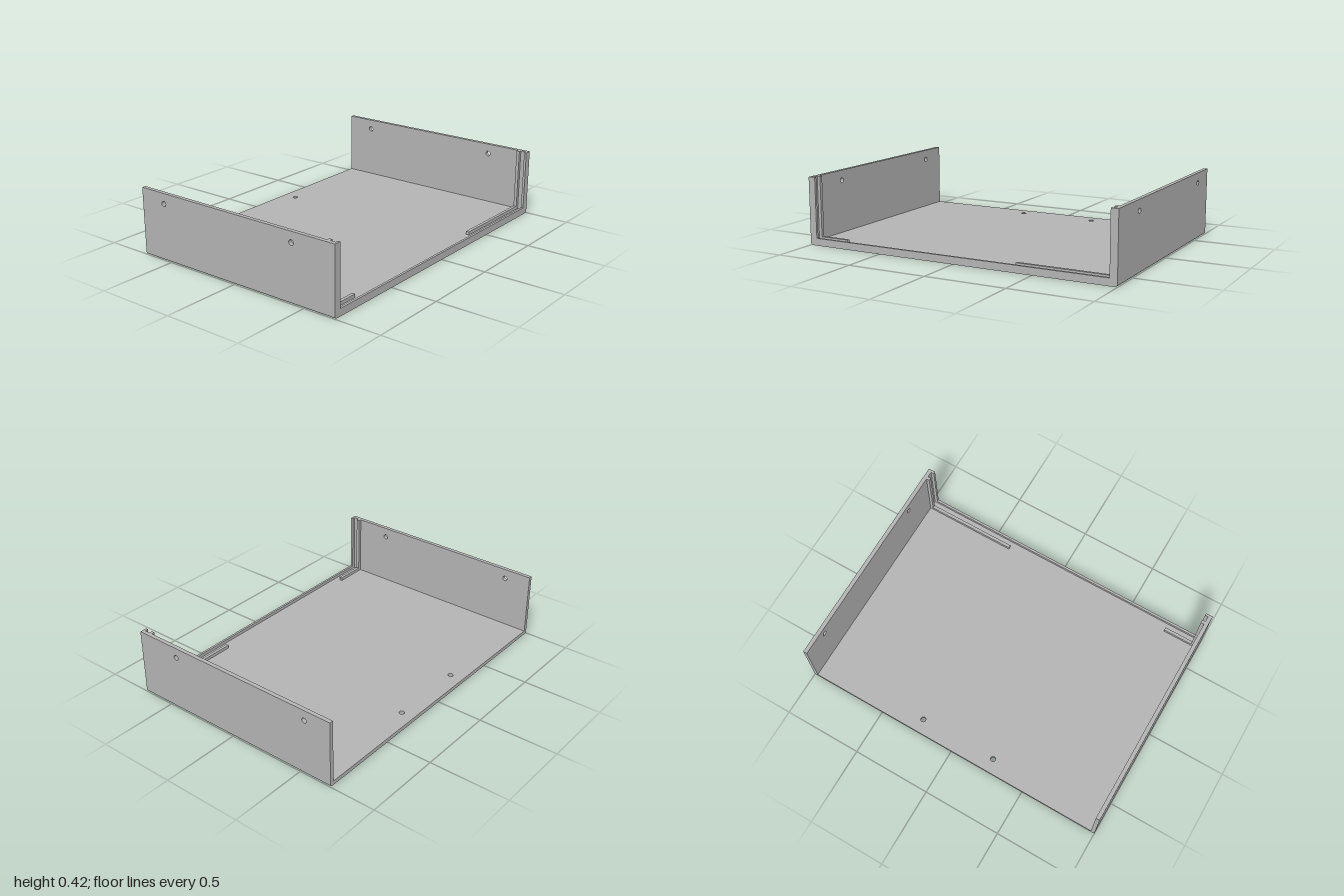
import * as THREE from 'three';

const W = 1, D = 0.71, H = 0.417;   // half width, half depth, height
const T = 0.025, LIP = 0.045;       // sheet thickness, lip height
const HOLE = 0.016, FILLET = 0.015;

const grey = new THREE.MeshStandardMaterial({ color: 0xb3b3b3 });
grey.name = 'grey';

// Rectangular plate in XY with round holes, extruded along +z
function plate(x0, y0, x1, y1, holes, depth) {
  const s = new THREE.Shape();
  s.moveTo(x0, y0).lineTo(x1, y0).lineTo(x1, y1).lineTo(x0, y1).closePath();
  for (const [x, y] of holes) s.holes.push(new THREE.Path().absarc(x, y, HOLE, 0, Math.PI * 2, true));
  return new THREE.ExtrudeGeometry(s, { depth, bevelEnabled: false, curveSegments: 12 });
}

export function createModel() {
  const group = new THREE.Group();
  const add = (name, geometry) => {
    const m = new THREE.Mesh(geometry, grey);
    m.name = name;
    group.add(m);
    return m;
  };
  const box = (name, x0, x1, y0, y1, z0, z1) =>
    add(name, new THREE.BoxGeometry(x1 - x0, y1 - y0, z1 - z0))
      .position.set((x0 + x1) / 2, (y0 + y1) / 2, (z0 + z1) / 2);

  // Floor with two holes near the back
  const floor = plate(-W + T, -D, W - T, D, [[-0.25, 0.625], [0.25, 0.625]], T);
  add('floor', floor.rotateX(-Math.PI / 2));

  for (const side of [-1, 1]) {
    const label = side > 0 ? 'left' : 'right';
    const span = (a, b) => (side > 0 ? [a, b] : [-b, -a]);

    // Side wall with two holes; shape x runs along -z
    const wall = plate(-D, T, D, H, [[-0.42, 0.353], [0.535, 0.353]], T);
    wall.rotateY(Math.PI / 2).translate(side > 0 ? W - T : -W, 0, 0);
    add(label + 'Wall', wall);

    // Rounded bottom edge joining floor and wall
    const c = new THREE.Shape();
    if (side > 0) {
      c.moveTo(W - T, 0).lineTo(W - FILLET, 0);
      c.absarc(W - FILLET, FILLET, FILLET, -Math.PI / 2, 0, false);
      c.lineTo(W, T).lineTo(W - T, T);
    } else {
      c.moveTo(-W + T, T).lineTo(-W, T).lineTo(-W, FILLET);
      c.absarc(-W + FILLET, FILLET, FILLET, Math.PI, Math.PI * 1.5, false);
      c.lineTo(-W + T, 0);
    }
    const edge = new THREE.ExtrudeGeometry(c, { depth: 2 * D, bevelEnabled: false, curveSegments: 6 });
    add(label + 'BottomEdge', edge.translate(0, 0, -D));

    // Upright front lip and the rail behind it, forming a panel slot
    box(label + 'FrontLip', ...span(W - LIP, W - T), T, H, 0.695, D);
    box(label + 'SlotRail', ...span(W - LIP, W - T), T, H, 0.64, 0.66);
  }

  // Lip along the front of the floor
  box('bottomFrontLip', -W + LIP, W - LIP, T, LIP, 0.695, D);
  // Short and long rails on the floor behind the lip
  box('shortFloorRail', -W + LIP, -0.765, T, LIP, 0.64, 0.66);
  box('longFloorRail', 0.375, W - LIP, T, LIP, 0.64, 0.66);

  return group;
}
